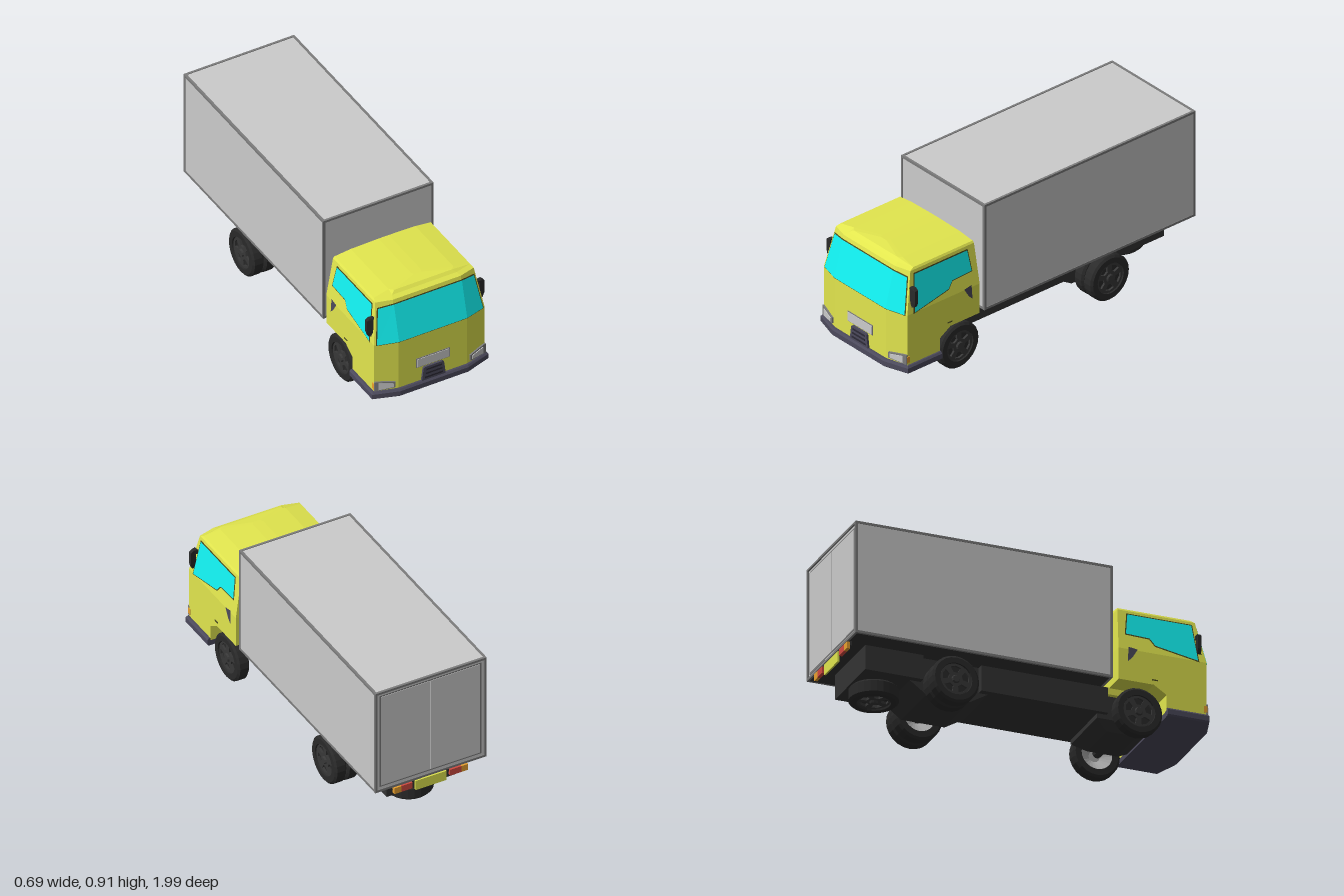
import * as THREE from 'three';

const mat = (color) => new THREE.MeshStandardMaterial({ color, flatShading: true, side: THREE.DoubleSide });
const M = {
  grey: mat(0xcccccc), yellow: mat(0xe2e64e), glass: mat(0x12f2f2), trim: mat(0x7c7c7c), rim: mat(0x383838),
  tyre: mat(0x2a2a2a), chassis: mat(0x343434), bumper: mat(0x4c4a5c), slot: mat(0x2c2a36),
  red: mat(0xd04a40), orange: mat(0xe8a030), seal: mat(0x4a4c20), hub: mat(0xb0b0b0),
};

function add(parent, name, geometry, material, x = 0, y = 0, z = 0) {
  const mesh = new THREE.Mesh(geometry, material);
  mesh.name = name;
  mesh.position.set(x, y, z);
  parent.add(mesh);
  return mesh;
}

// Box given by its limits
function block(parent, name, material, x0, x1, y0, y1, z0, z1) {
  return add(parent, name, new THREE.BoxGeometry(x1 - x0, y1 - y0, z1 - z0), material,
    (x0 + x1) / 2, (y0 + y1) / 2, (z0 + z1) / 2);
}

const shapeOf = (pts) => new THREE.Shape(pts.map(([a, b]) => new THREE.Vector2(a, b)));

// Side outline in (z, y), extruded across x
function sideExtrude(pts, x0, x1) {
  const g = new THREE.ExtrudeGeometry(shapeOf(pts), { depth: x1 - x0, bevelEnabled: false });
  return g.rotateY(-Math.PI / 2).scale(-1, 1, 1).translate(x0, 0, 0);
}

// Skin over rings of equal point count, running upward, closed at both ends
function loft(rings) {
  const pos = [];
  const n = rings[0].length;
  const tri = (...p) => p.forEach((v) => pos.push(...v));
  for (let i = 0; i < rings.length - 1; i++) {
    for (let j = 0; j < n; j++) {
      const k = (j + 1) % n;
      const [a, b, c, d] = [rings[i][j], rings[i][k], rings[i + 1][k], rings[i + 1][j]];
      tri(a, d, c);
      tri(a, c, b);
    }
  }
  const low = rings[0], top = rings[rings.length - 1];
  for (let j = 1; j < n - 1; j++) {
    tri(low[0], low[j], low[j + 1]);
    tri(top[0], top[j + 1], top[j]);
  }
  const g = new THREE.BufferGeometry();
  g.setAttribute('position', new THREE.Float32BufferAttribute(pos, 3));
  g.computeVertexNormals();
  return g;
}

// Plan outline with a blunt, three-faced nose
const planRing = (y, back, half, corner, bevel, front) => [
  [half, y, back], [half, y, corner], [bevel, y, front],
  [-bevel, y, front], [-half, y, corner], [-half, y, back],
];

// Slanted upper walls of the cab
const lean = (y) => Math.max(0, (y - 0.46) / 0.23);
const sideX = (y) => 0.325 - 0.035 * lean(y);
const noseZ = (y) => 0.975 - 0.06 * lean(y);
const cornerZ = (y) => 0.94 - 0.05 * lean(y);

// Flat panel lying on the cab side, outline in (z, y)
function sidePanel(pts, side, off) {
  const g = new THREE.ShapeGeometry(shapeOf(pts));
  const p = g.attributes.position;
  for (let i = 0; i < p.count; i++) {
    const z = p.getX(i), y = p.getY(i);
    p.setXYZ(i, side * (sideX(y) + off), y, z);
  }
  g.computeVertexNormals();
  return g;
}

// Thin three-faced panel over the nose
function windscreen(y0, y1, yCorner, inset, off) {
  const row = (y, yc) => [-1, 1].flatMap((s) => {
    const k = inset / (sideX(yc) - 0.2);
    const edge = [s * (sideX(yc) - inset), yc, cornerZ(yc) + k * (noseZ(yc) - cornerZ(yc)) + off];
    const mid = [s * 0.2, y, noseZ(y) + off];
    return s < 0 ? [edge, mid] : [mid, edge];
  });
  const lo = row(y0, y0), hi = row(y1, yCorner), pos = [];
  for (let i = 0; i < 3; i++) pos.push(...lo[i], ...lo[i + 1], ...hi[i + 1], ...lo[i], ...hi[i + 1], ...hi[i]);
  const g = new THREE.BufferGeometry();
  g.setAttribute('position', new THREE.Float32BufferAttribute(pos, 3));
  g.computeVertexNormals();
  return g;
}

function makeWheel(name) {
  const g = new THREE.Group();
  g.name = name;
  const v = (r, y) => new THREE.Vector2(r, y);
  add(g, 'tyre', new THREE.LatheGeometry([v(0.085, -0.034), v(0.118, -0.034), v(0.13, -0.024),
    v(0.13, 0.024), v(0.118, 0.034), v(0.088, 0.034), v(0.085, 0.02)], 24), M.tyre);
  add(g, 'innerDish', new THREE.LatheGeometry([v(0, 0.005), v(0.03, 0.005), v(0.085, -0.032)], 24), M.hub);
  add(g, 'rimBack', new THREE.CylinderGeometry(0.086, 0.086, 0.004, 24), M.tyre, 0, 0.012);
  // Rim face with five openings
  const face = new THREE.Shape().absarc(0, 0, 0.086, 0, Math.PI * 2);
  for (let i = 0; i < 5; i++) {
    const a = (i / 5) * Math.PI * 2, at = (r, d) => v(r * Math.cos(a + d), r * Math.sin(a + d));
    face.holes.push(new THREE.Path([at(0.04, -0.3), at(0.072, -0.4), at(0.075, 0), at(0.072, 0.4), at(0.04, 0.3)]));
  }
  const rim = new THREE.ExtrudeGeometry(face, { depth: 0.012, bevelEnabled: false, curveSegments: 12 });
  add(g, 'rim', rim.rotateX(-Math.PI / 2), M.rim, 0, 0.014);
  add(g, 'hubCap', new THREE.CylinderGeometry(0.018, 0.024, 0.01, 10), M.rim, 0, 0.03);
  return g;
}

function makeCab() {
  const cab = new THREE.Group();
  cab.name = 'cab';
  add(cab, 'cabBody', loft([
    planRing(0.15, 0.72, 0.325, 0.94, 0.2, 0.975), planRing(0.24, 0.72, 0.325, 0.94, 0.2, 0.975),
    planRing(0.285, 0.65, 0.325, 0.94, 0.2, 0.975), planRing(0.285, 0.455, 0.325, 0.94, 0.2, 0.975),
    planRing(0.46, 0.455, 0.325, 0.94, 0.2, 0.975), planRing(0.69, 0.463, 0.29, 0.89, 0.2, 0.915),
    planRing(0.701, 0.466, 0.283, 0.865, 0.19, 0.89), planRing(0.715, 0.47, 0.19, 0.855, 0.17, 0.875),
    planRing(0.723, 0.475, 0.03, 0.8, 0.02, 0.82),
  ]), M.yellow);
  block(cab, 'cabFloor', M.yellow, -0.2, 0.2, 0.25, 0.287, 0.41, 0.7);
  add(cab, 'windscreenSeal', windscreen(0.457, 0.671, 0.661, 0.008, 0.003), M.seal);
  add(cab, 'windscreen', windscreen(0.461, 0.666, 0.656, 0.013, 0.005), M.glass);

  // Bumper wrapping the nose
  const bump = (y, d) => planRing(y, 0.72, 0.342 - d, 0.95 - d, 0.2, 0.995 - d);
  add(cab, 'bumper', loft([bump(0.12, 0.008), bump(0.128, 0), bump(0.155, 0), bump(0.165, 0.008)]), M.bumper);

  // Grille with slots, and the front plate
  const grille = shapeOf([[-0.07, 0.163], [0.07, 0.163], [0.06, 0.24], [0.052, 0.247], [-0.052, 0.247], [-0.06, 0.24]]);
  add(cab, 'grille', new THREE.ExtrudeGeometry(grille, { depth: 0.015, bevelEnabled: false }), M.bumper, 0, 0, 0.972);
  for (let i = 0; i < 3; i++) {
    const w = 0.053 - i * 0.004, y = 0.177 + i * 0.024;
    block(cab, 'grilleSlot', M.slot, -w, w, y, y + 0.01, 0.985, 0.989);
  }
  block(cab, 'frontPlateEdge', M.trim, -0.098, 0.098, 0.253, 0.311, 0.97, 0.979);
  block(cab, 'frontPlate', M.grey, -0.094, 0.094, 0.257, 0.307, 0.97, 0.982);

  const win = [[0.893, 0.462], [0.868, 0.668], [0.515, 0.668], [0.5, 0.55], [0.63, 0.545], [0.66, 0.507]];
  const seal = [[0.9, 0.455], [0.873, 0.674], [0.51, 0.674], [0.494, 0.544], [0.628, 0.539], [0.658, 0.501]];
  const vent = [[0.56, 0.465], [0.51, 0.473], [0.505, 0.39], [0.53, 0.415]];
  for (const s of [1, -1]) {
    add(cab, 'sideWindowSeal', sidePanel(seal, s, 0.002), M.seal);
    add(cab, 'sideWindow', sidePanel(win, s, 0.004), M.glass);
    add(cab, 'sideVent', sidePanel(vent, s, 0.003), M.bumper);
    block(cab, 'doorHandle', M.seal, s * 0.325 - 0.003, s * 0.325 + 0.003, 0.308, 0.314, 0.64, 0.67);
    // Headlamp following the bevelled corner, with a side indicator
    const lamp = (d, a, b) => new THREE.ExtrudeGeometry(shapeOf(a), { depth: d, bevelEnabled: false }).translate(0, 0, b);
    const outer = [[0, 0.178], [0.112, 0.17], [0.112, 0.227], [0.095, 0.227], [0, 0.212]];
    const inner = [[0.01, 0.184], [0.09, 0.178], [0.09, 0.218], [0.01, 0.205]];
    const head = new THREE.Group();
    head.name = 'headlamp';
    add(head, 'lampHousing', lamp(0.012, outer, -0.004), M.trim);
    add(head, 'lampLens', lamp(0.004, inner, 0.008), M.grey);
    head.position.set(0.218, 0, 0.971);
    head.rotation.y = Math.atan2(0.035, 0.125);
    const pair = new THREE.Group();
    pair.name = 'headlampSide';
    pair.scale.x = s;
    pair.add(head);
    block(pair, 'indicator', M.orange, 0.318, 0.329, 0.18, 0.215, 0.925, 0.945);
    // Mirror
    add(pair, 'mirror', loft([
      [0.5, 0.326, 0.336], [0.525, 0.313, 0.345], [0.598, 0.313, 0.345], [0.61, 0.308, 0.33],
    ].map(([y, a, b]) => [[b, y, 0.885], [b, y, 0.905], [a, y, 0.912], [a, y, 0.888]])), M.tyre);
    block(pair, 'mirrorArm', M.tyre, 0.295, 0.325, 0.585, 0.607, 0.885, 0.9);
    cab.add(pair);
  }
  return cab;
}

function makeCargoBox() {
  const box = new THREE.Group();
  box.name = 'cargoBox';
  const [X, Y0, Y1, Z0, Z1, t, e] = [0.325, 0.286, 0.912, -0.995, 0.423, 0.013, 0.003];
  block(box, 'boxWalls', M.grey, -X + e, X - e, Y0 + e, Y1 - e, Z0 + 0.008, Z1 - e);
  block(box, 'boxFloor', M.chassis, -X + t, X - t, Y0, Y0 + 0.01, Z0 + t, Z1 - t);
  // Edge rails
  for (const [a, b] of [[-X, -X + t], [X - t, X]]) {
    for (const [c, d] of [[Y0, Y0 + t], [Y1 - t, Y1]]) block(box, 'longRail', M.trim, a, b, c, d, Z0, Z1);
    for (const [c, d] of [[Z0, Z0 + t], [Z1 - t, Z1]]) block(box, 'cornerPost', M.trim, a, b, Y0, Y1, c, d);
  }
  for (const [a, b] of [[Y0, Y0 + t], [Y1 - t, Y1]])
    for (const [c, d] of [[Z0, Z0 + t], [Z1 - t, Z1]]) block(box, 'crossRail', M.trim, -X, X, a, b, c, d);
  // Rear doors on a darker surround
  block(box, 'doorSurround', M.trim, -0.297, 0.297, 0.312, 0.886, Z0 + 0.006, Z0 + 0.02);
  for (const s of [1, -1]) {
    const c = s * 0.1455;
    block(box, 'rearDoor', M.grey, c - 0.144, c + 0.144, 0.32, 0.878, Z0 + 0.004, Z0 + 0.02);
  }
  return box;
}

export function createModel() {
  const truck = new THREE.Group();
  truck.name = 'boxTruck';
  truck.add(makeCab(), makeCargoBox());

  // Chassis, axle housings and tail
  block(truck, 'chassis', M.chassis, -0.2, 0.2, 0.145, 0.287, -0.25, 0.45);
  block(truck, 'chassisRear', M.chassis, -0.165, 0.165, 0.15, 0.287, -0.6, -0.25);
  block(truck, 'chassisTail', M.chassis, -0.2, 0.2, 0.15, 0.287, -0.89, -0.57);
  add(truck, 'rearAxleHousing', sideExtrude([[-0.2, 0.28], [-0.2, 0.145], [-0.3, 0.085], [-0.54, 0.085],
    [-0.63, 0.15], [-0.63, 0.28]], -0.165, 0.165), M.chassis);
  add(truck, 'frontAxleHousing', loft([[0.075, 0.13, 0.47, 0.64], [0.12, 0.175, 0.4, 0.71], [0.27, 0.175, 0.4, 0.72]]
    .map(([y, x, a, b]) => [[x, y, a], [x, y, b], [-x, y, b], [-x, y, a]])), M.chassis);

  // Wheels: single in front, doubled at the rear
  for (const s of [1, -1]) {
    for (const [name, x, z] of [['frontWheel', 0.28, 0.575], ['rearOuterWheel', 0.28, -0.435], ['rearInnerWheel', 0.208, -0.435]]) {
      const w = makeWheel(name);
      w.position.set(s * x, 0.13, z);
      w.rotation.z = -s * Math.PI / 2;
      truck.add(w);
    }
    // Tail lamps
    const lamp = (n, m, a, b) => block(truck, n, m, Math.min(s * a, s * b), Math.max(s * a, s * b), 0.243, 0.28, -0.998, -0.98);
    lamp('tailLamp', M.red, 0.11, 0.175);
    lamp('rearIndicator', M.orange, 0.175, 0.215);
  }
  for (const z of [0.575, -0.435])
    add(truck, 'axle', new THREE.CylinderGeometry(0.025, 0.025, 0.5, 10).rotateZ(Math.PI / 2), M.chassis, 0, 0.13, z);
  const spare = makeWheel('spareWheel');
  spare.position.set(0, 0.108, -0.76);
  spare.rotation.z = Math.PI;
  spare.scale.y = 1.24;
  truck.add(spare);
  block(truck, 'rearPlate', M.yellow, -0.09, 0.09, 0.222, 0.28, -0.996, -0.985);
  block(truck, 'lampBar', M.chassis, -0.215, 0.215, 0.262, 0.287, -0.985, -0.97);
  return truck;
}
